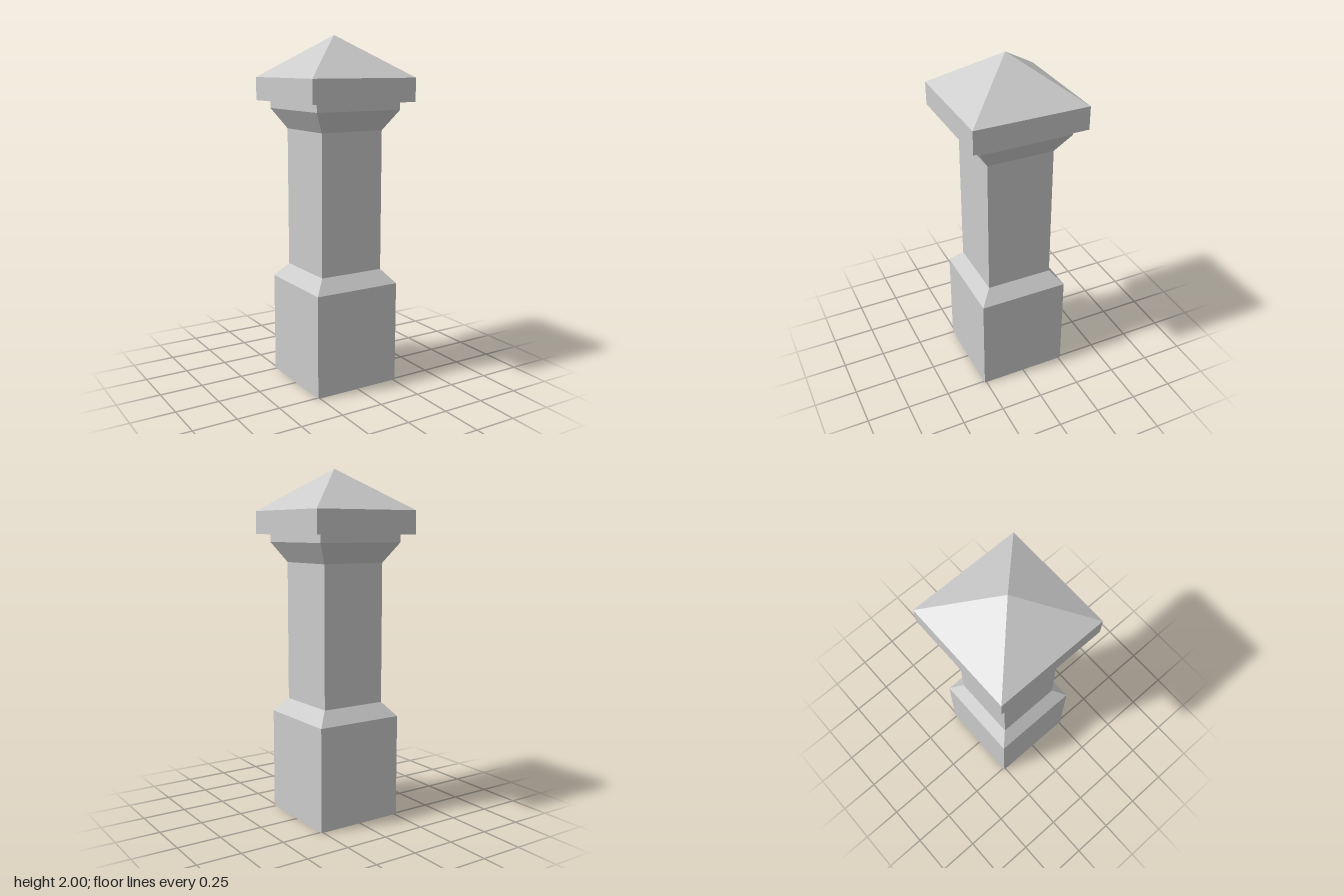
import * as THREE from 'three';

const material = new THREE.MeshStandardMaterial({
  color: 0xcccccc, flatShading: true, side: THREE.DoubleSide,
});

// Square section swept up a profile of [half width, height] pairs
function squareSection(name, profile) {
  const points = profile.map(([half, y]) => new THREE.Vector2(half * Math.SQRT2, y));
  const geometry = new THREE.LatheGeometry(points, 4, Math.PI / 4).toNonIndexed();
  geometry.computeVertexNormals();
  const mesh = new THREE.Mesh(geometry, material);
  mesh.name = name;
  return mesh;
}

export function createModel() {
  const group = new THREE.Group();
  group.name = 'stonePost';
  group.add(
    // Hollow plinth, open underneath, with a sloped shoulder
    squareSection('base', [[0.262, 0], [0.262, 0.593], [0.195, 0.673]]),
    squareSection('shaft', [[0.195, 0.673], [0.195, 1.477]]),
    // Flared collar under the cap
    squareSection('collar', [[0.195, 1.477], [0.267, 1.592], [0.267, 1.636]]),
    // Overhanging slab with a pyramid top
    squareSection('cap', [[0.267, 1.636], [0.327, 1.636], [0.327, 1.768]]),
    squareSection('pyramidTop', [[0.327, 1.768], [0, 2]]),
  );
  return group;
}
